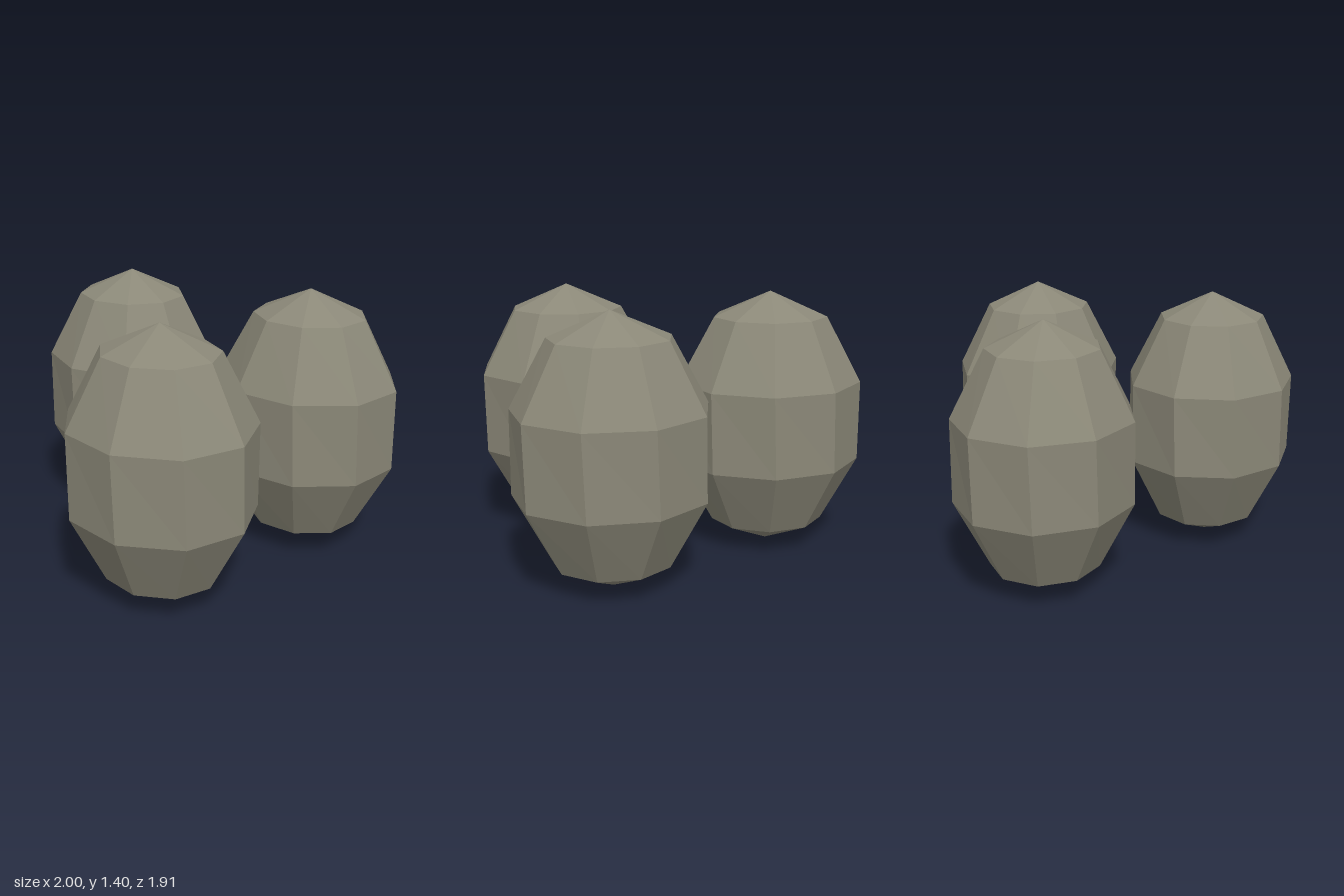
import * as THREE from 'three';

const stone = new THREE.MeshStandardMaterial({ color: 0x8b8878, flatShading: true });
stone.name = 'stone grey';

// Nine-sided faceted egg: turned by a degree offset, then stretched along the axes.
function podGeometry(offset) {
  const geo = new THREE.SphereGeometry(1, 9, 5);
  const pos = geo.attributes.position;
  const v = new THREE.Vector3();
  const up = new THREE.Vector3(0, 1, 0);
  // slight twist between the two middle rings
  for (let i = 0; i < pos.count; i++) {
    v.fromBufferAttribute(pos, i);
    if (Math.abs(v.y) < 0.5) v.applyAxisAngle(up, v.y > 0 ? -0.016 : 0.016);
    pos.setXYZ(i, v.x, v.y, v.z);
  }
  geo.rotateY(THREE.MathUtils.degToRad(20 - offset));
  geo.scale(0.527, 0.702, 0.484);
  geo.computeVertexNormals();
  return geo;
}

export function createModel() {
  const group = new THREE.Group();
  group.name = 'podCluster';
  // name, x, z, turn in degrees
  const pods = [
    ['rightPod', -0.524, -0.031, 1],
    ['leftBackPod', 0.421, -0.517, 12.7],
    ['leftFrontPod', 0.512, 0.504, 24.2],
  ];
  for (const [name, x, z, turn] of pods) {
    const pod = new THREE.Mesh(podGeometry(turn), stone);
    pod.name = name;
    pod.position.set(x, 0.705, z);
    group.add(pod);
  }
  return group;
}
